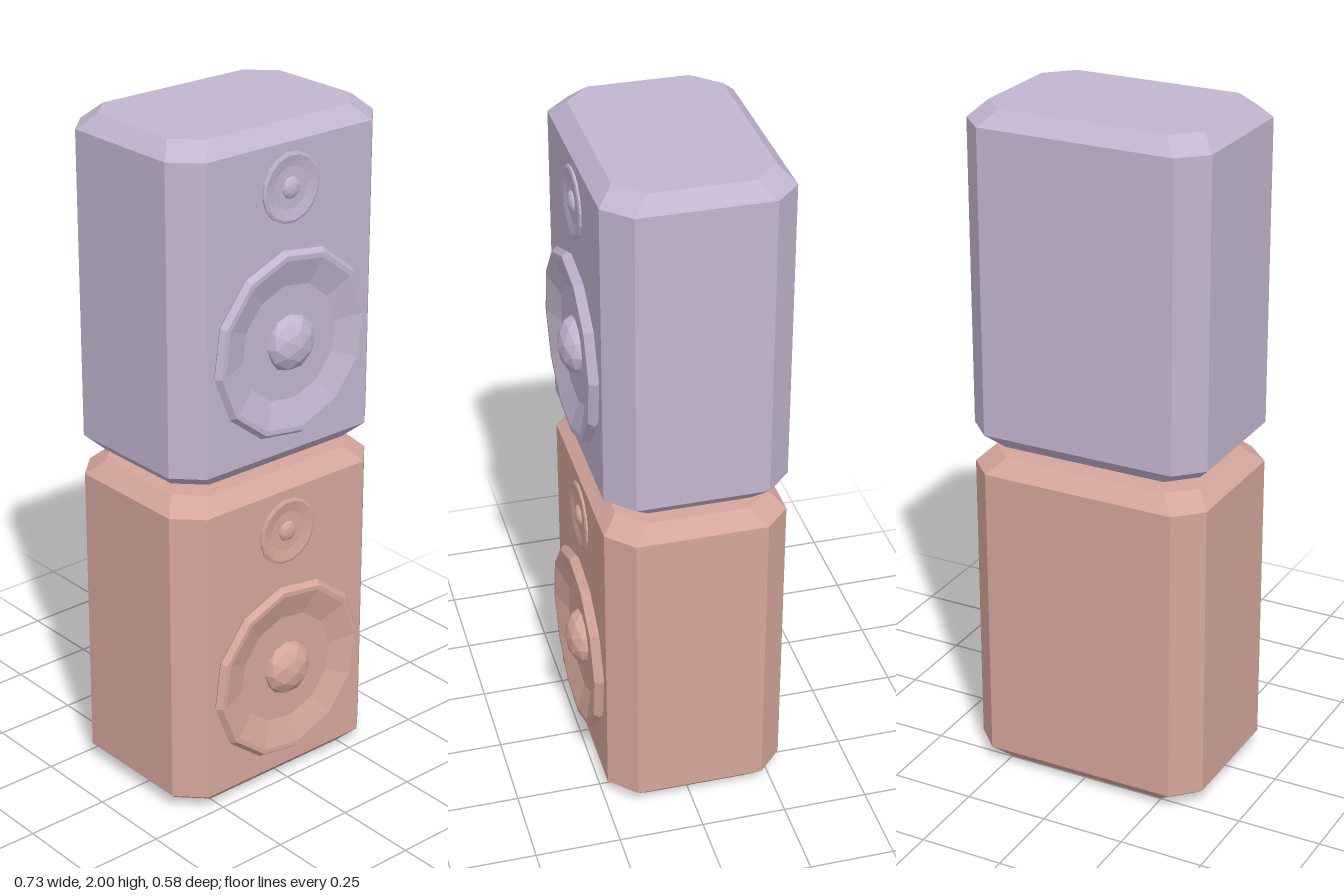
import * as THREE from 'three';
import { ConvexGeometry } from 'three/addons/geometries/ConvexGeometry.js';

const FRONT = 0.235, BACK = -0.292, HALF_W = 0.367, CUT = 0.074, BEVEL = 0.044, HEIGHT = 0.983;

// Corner-cut outline at one height, drawn in by the given inset
function outline(y, inset) {
  const w = HALF_W - inset, f = FRONT - inset, b = BACK + inset;
  const points = [];
  for (const s of [-1, 1]) {
    points.push([s * w, f - CUT], [s * (w - CUT), f], [s * w, b + CUT], [s * (w - CUT), b]);
  }
  return points.map(([x, z]) => new THREE.Vector3(x, y, z));
}

function flat(geometry) {
  const g = geometry.index ? geometry.toNonIndexed() : geometry;
  g.computeVertexNormals();
  return g;
}

// Faceted ring facing +z; profile is [radius, z] pairs from the outside in
function ring(profile, sides) {
  const g = new THREE.LatheGeometry(profile.map(([r, z]) => new THREE.Vector2(r, z)), sides);
  g.rotateX(Math.PI / 2);
  g.rotateZ(THREE.MathUtils.degToRad(7));
  return flat(g);
}

function dome(radius, depth) {
  const g = new THREE.IcosahedronGeometry(1, 1);
  g.scale(radius, radius, depth);
  return flat(g);
}

function buildSpeaker(name, material) {
  const speaker = new THREE.Group();
  speaker.name = name;
  const add = (part, geometry, y = 0, z = 0) => {
    const mesh = new THREE.Mesh(geometry, material);
    mesh.name = part;
    mesh.position.set(0, y, z);
    speaker.add(mesh);
  };

  // Bevelled cabinet
  add('cabinet', new ConvexGeometry([
    ...outline(0, BEVEL), ...outline(BEVEL, 0),
    ...outline(HEIGHT - BEVEL, 0), ...outline(HEIGHT, BEVEL),
  ]));

  // Large driver: rim, sloping cone and dust cap
  add('wooferRim', ring([
    [0.268, 0], [0.277, 0.012], [0.264, 0.028], [0.25, 0.028], [0.17, 0.003], [0, 0.003],
  ], 12), 0.37, FRONT);
  add('wooferCap', dome(0.082, 0.05), 0.37, FRONT + 0.003);

  // Small driver
  add('tweeterRim', ring([
    [0.1, 0], [0.1, 0.005], [0.092, 0.008], [0.06, 0.002], [0, 0.002],
  ], 16), 0.812, FRONT);
  add('tweeterCap', dome(0.031, 0.014), 0.812, FRONT + 0.002);
  return speaker;
}

export function createModel() {
  const coral = new THREE.MeshStandardMaterial({ color: 0xd5a69b });
  coral.name = 'coral';
  const lilac = new THREE.MeshStandardMaterial({ color: 0xc2b5cf });
  lilac.name = 'lilac';

  const model = new THREE.Group();
  model.name = 'stackedSpeakers';
  const lower = buildSpeaker('lowerSpeaker', coral);
  const upper = buildSpeaker('upperSpeaker', lilac);
  upper.position.y = 2 - HEIGHT;
  model.add(lower, upper);
  return model;
}
